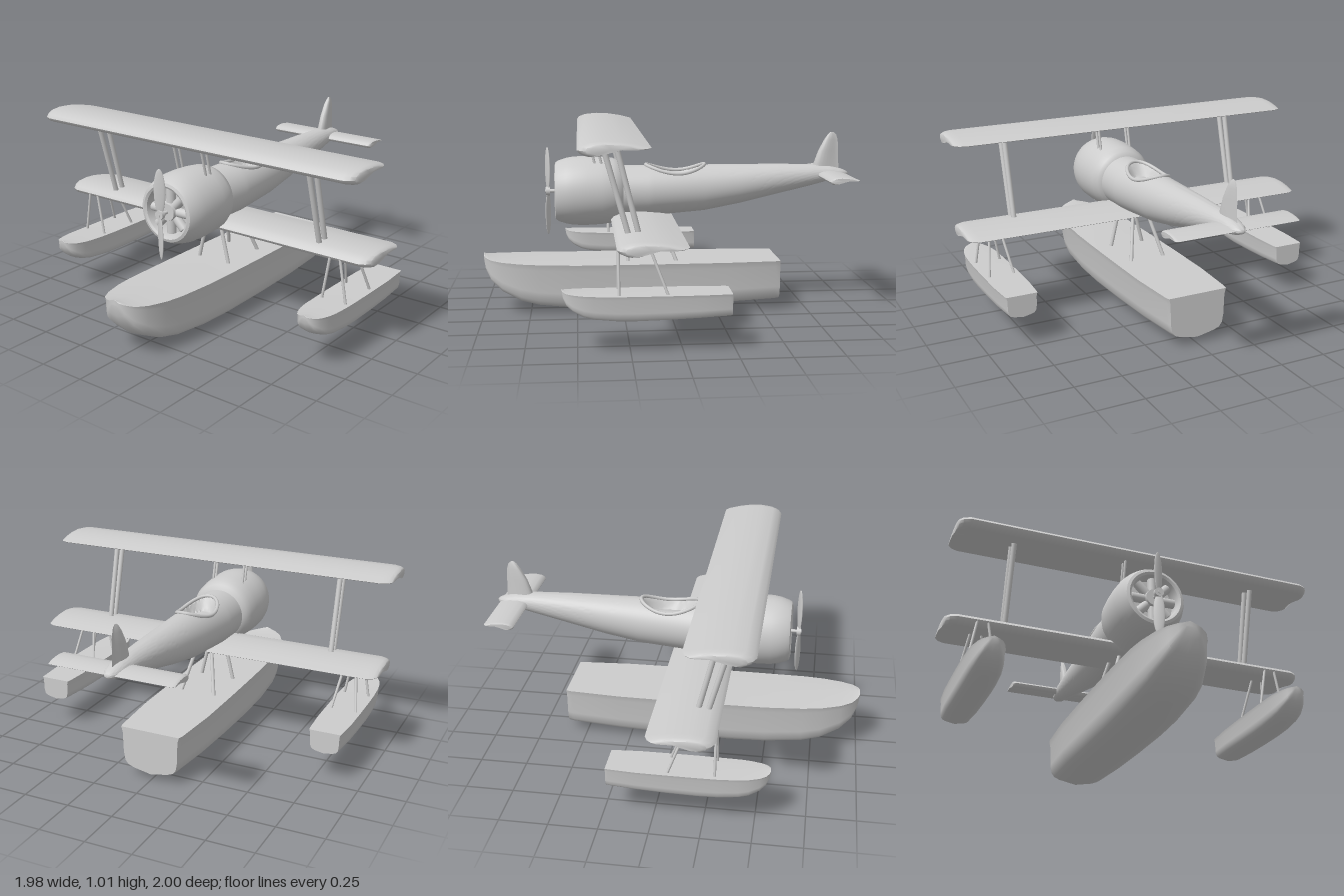
import * as THREE from 'three';
import { toCreasedNormals } from 'three/addons/utils/BufferGeometryUtils.js';

const grey = new THREE.MeshStandardMaterial({ color: 0xcccccc });
grey.name = 'light grey';

// Closed skin through rings of [x, y, z] points, with flat ends; always turned outwards
function loft(rings, crease = 0.6) {
  const n = rings[0].length, pos = rings.flat(2), idx = [];
  for (let r = 0; r < rings.length - 1; r++)
    for (let i = 0; i < n; i++) {
      const a = r * n + i, b = r * n + (i + 1) % n;
      idx.push(a, b, a + n, b, b + n, a + n);
    }
  for (const r of [0, rings.length - 1]) {
    const c = pos.length / 3;
    pos.push(...[0, 1, 2].map(k => rings[r].reduce((s, p) => s + p[k], 0) / n));
    for (let i = 0; i < n; i++) {
      const a = r * n + i, b = r * n + (i + 1) % n;
      idx.push(...(r ? [a, b, c] : [b, a, c]));
    }
  }
  let volume = 0;
  const v = k => new THREE.Vector3().fromArray(pos, idx[k] * 3);
  for (let k = 0; k < idx.length; k += 3) volume += v(k).dot(v(k + 1).cross(v(k + 2)));
  if (volume < 0) idx.reverse();
  const g = new THREE.BufferGeometry();
  g.setAttribute('position', new THREE.Float32BufferAttribute(pos, 3));
  g.setIndex(idx);
  return toCreasedNormals(g, crease);
}

// Linear look-up in rows sorted by falling first column
function sample(rows, z) {
  let i = 0;
  while (i < rows.length - 2 && z < rows[i + 1][0]) i++;
  const t = (z - rows[i][0]) / (rows[i + 1][0] - rows[i][0]);
  return rows[i].map((a, k) => a + (rows[i + 1][k] - a) * t);
}

// Fuselage rows: z, half width, top, bottom
const BODY = [
  [0.3, 0.14, 0.79, 0.51], [0.1, 0.14, 0.79, 0.515], [-0.2, 0.117, 0.79, 0.54],
  [-0.4, 0.1, 0.79, 0.578], [-0.6, 0.08, 0.79, 0.625], [-0.8, 0.06, 0.785, 0.672],
  [-0.9, 0.05, 0.775, 0.698], [-0.96, 0.038, 0.76, 0.71], [-0.99, 0.02, 0.747, 0.722],
  [-1, 0.004, 0.737, 0.732],
];
const PIT = { z: -0.04, rx: 0.09, rz: 0.155 };

function fuselage() {
  const rings = [], zs = [];
  for (let i = 0; i <= 80; i++) zs.push(0.3 - i * 0.0155);
  zs.push(-0.96, -0.975, -0.99, -1);
  for (const z of zs) {
    const [, w, top, bot] = sample(BODY, z), ring = [];
    for (let i = 0; i < 64; i++) {
      const a = i / 64 * Math.PI * 2, x = w * Math.sin(a);
      let y = (top + bot) / 2 + (top - bot) / 2 * Math.cos(a);
      // Cockpit hollow
      const d = Math.hypot(x / PIT.rx, (z - PIT.z) / PIT.rz);
      if (d < 1 && Math.cos(a) > 0) y -= 0.07 * Math.min(1, (1 - d) * 4);
      ring.push([x, y, z]);
    }
    rings.push(ring);
  }
  return loft(rings, 0.9);
}

// Cockpit rim lying on the fuselage skin
function cockpitRim() {
  const pts = [];
  for (let i = 0; i < 32; i++) {
    const a = i / 32 * Math.PI * 2, x = 0.094 * Math.cos(a), z = PIT.z + 0.16 * Math.sin(a);
    const [, w, top, bot] = sample(BODY, z);
    pts.push(new THREE.Vector3(x, (top + bot) / 2 + (top - bot) / 2 * Math.sqrt(1 - (x / w) ** 2) + 0.003, z));
  }
  return new THREE.TubeGeometry(new THREE.CatmullRomCurve3(pts, true), 64, 0.01, 8, true);
}

// Airfoil outline: chord fraction, height
const FOIL = [[0, 0], [0.04, 0.018], [0.15, 0.032], [0.35, 0.039], [0.6, 0.035], [0.8, 0.025],
  [1, 0.008], [0.98, 0.004], [0.8, 0.012], [0.6, 0.003], [0.4, -0.013], [0.25, -0.026],
  [0.12, -0.028], [0.03, -0.015]];

// Wing with rounded tips; tips rows: inset from the end, chord scale, thickness scale
function wing(half, chord, lead, y, thick, tips) {
  const side = s => tips.map(([inset, c, t]) => FOIL.map(([u, v]) =>
    [s * (half - inset), y + v * thick * t, lead - chord * (0.5 + (u - 0.5) * c)]));
  return loft([...side(-1), ...side(1).reverse()], 0.75);
}
const WING_TIPS = [[0, 0.64, 0.72], [0.005, 0.78, 0.86], [0.022, 0.91, 0.95], [0.055, 1, 1]];
const TAIL_TIPS = [[0, 0.86, 0.8], [0.006, 0.96, 0.95], [0.015, 1, 1]];

// Fin: teardrop sections; rows: y, front z, back z, half thickness
function fin() {
  const rows = [[0.74, -0.8, -0.95, 0.022], [0.79, -0.805, -0.945, 0.022], [0.86, -0.83, -0.942, 0.02],
    [0.92, -0.862, -0.938, 0.015], [0.95, -0.883, -0.928, 0.009], [0.962, -0.897, -0.915, 0.003]];
  return loft(rows.map(([y, f, b, t]) => Array.from({ length: 20 }, (_, i) => {
    const a = i / 20 * Math.PI * 2;
    return [t * 1.5 * Math.sin(a) * (0.5 + 0.5 * Math.cos(a)), y, (f + b) / 2 + (f - b) / 2 * Math.cos(a)];
  })), 1);
}

// Float hull rows: z, half width, deck, keel
function hull() {
  const rows = [[-0.6, 0.165, 0.28, 0.04], [-0.57, 0.172, 0.28, 0.038], [-0.3, 0.19, 0.28, 0.025],
    [0, 0.193, 0.28, 0.012], [0.3, 0.193, 0.28, 0.005], [0.5, 0.19, 0.28, 0.01], [0.7, 0.18, 0.284, 0.03],
    [0.8, 0.165, 0.287, 0.055], [0.9, 0.135, 0.292, 0.11], [0.96, 0.1, 0.298, 0.17],
    [0.99, 0.06, 0.306, 0.235], [1, 0.03, 0.312, 0.29]];
  const half = [[1, 1], [0.95, 0.87], [0.93, 0.4], [0.88, 0.22], [0.78, 0.13], [0.6, 0.08]];
  return loft(rows.map(([z, w, top, bot]) => {
    const crown = 0.012 * Math.max(0, z);
    const right = half.map(([a, b]) => [a * w, bot + (top - bot) * b, z]);
    const left = right.map(([x, y]) => [-x, y, z]).reverse();
    return [[0, top + crown, z], ...right, [0, bot, z], ...left];
  }), 0.6);
}

// Cowling with a hollow front, turned about the z axis
function cowling() {
  const profile = [[0, 0.24], [0.13, 0.24], [0.16, 0.262], [0.176, 0.3], [0.183, 0.36], [0.187, 0.44], [0.185, 0.51],
    [0.178, 0.55], [0.165, 0.59], [0.155, 0.607], [0.14, 0.612], [0.128, 0.605], [0.124, 0.59], [0.124, 0.53], [0, 0.53]];
  const g = new THREE.LatheGeometry(profile.map(p => new THREE.Vector2(...p)), 48);
  return toCreasedNormals(g.rotateX(Math.PI / 2).translate(0, 0.655, 0), 0.7);
}

export function createModel() {
  const plane = new THREE.Group();
  plane.name = 'biplaneSeaplane';
  const add = (name, geometry, parent = plane) => {
    const m = new THREE.Mesh(geometry, grey);
    m.name = name;
    parent.add(m);
    return m;
  };
  const rod = (name, from, to, radius) => {
    const a = new THREE.Vector3(...from), b = new THREE.Vector3(...to);
    const m = add(name, new THREE.CylinderGeometry(radius, radius, a.distanceTo(b), 12));
    m.position.copy(a).lerp(b, 0.5);
    m.quaternion.setFromUnitVectors(new THREE.Vector3(0, 1, 0), b.sub(a).normalize());
  };

  add('fuselage', fuselage());
  add('cockpitRim', cockpitRim());
  add('cowling', cowling());
  add('upperWing', wing(0.99, 0.335, 0.49, 0.972, 1, WING_TIPS));
  add('lowerWing', wing(0.99, 0.335, 0.315, 0.513, 1, WING_TIPS));
  add('tailplane', wing(0.335, 0.16, -0.82, 0.73, 0.58, TAIL_TIPS));
  add('fin', fin());

  // Radial engine
  const engine = new THREE.Group();
  engine.name = 'engine';
  engine.position.set(0, 0.655, 0.565);
  plane.add(engine);
  add('crankcase', new THREE.CylinderGeometry(0.045, 0.055, 0.07, 24).rotateX(Math.PI / 2), engine);
  for (let i = 0; i < 8; i++)
    add('engineCylinder', new THREE.CylinderGeometry(0.024, 0.024, 0.075, 16)
      .translate(0, 0.08, 0).rotateZ(i * Math.PI / 4), engine);

  // Propeller
  const propeller = new THREE.Group();
  propeller.name = 'propeller';
  propeller.position.set(0, 0.655, 0.65);
  plane.add(propeller);
  add('propellerShaft', new THREE.CylinderGeometry(0.009, 0.009, 0.09, 12).rotateX(Math.PI / 2).translate(0, 0, -0.03), propeller);
  add('propellerHub', new THREE.CylinderGeometry(0.024, 0.024, 0.022, 20).rotateX(Math.PI / 2), propeller);
  for (const turn of [0, Math.PI])
    add('propellerBlade', new THREE.SphereGeometry(1, 20, 16).scale(0.03, 0.118, 0.007)
      .rotateY(0.45).translate(0, 0.12, 0).rotateZ(turn), propeller);

  // Floats: the outriggers are half-size copies of the main hull
  const floatShape = hull();
  add('mainFloat', floatShape);
  for (const s of [1, -1]) {
    const outrigger = add('outriggerFloat', floatShape);
    outrigger.scale.setScalar(0.5);
    outrigger.position.set(s * 0.805, 0.145, 0.07);

    // Wing and cabin struts
    rod('wingStrut', [s * 0.68, 0.97, 0.37], [s * 0.68, 0.52, 0.245], 0.014);
    rod('wingStrut', [s * 0.68, 0.985, 0.31], [s * 0.68, 0.52, 0.195], 0.014);
    rod('cabaneStrut', [s * 0.09, 0.965, 0.437], [s * 0.09, 0.78, 0.39], 0.007);
    rod('cabaneStrut', [s * 0.09, 0.965, 0.4], [s * 0.09, 0.78, 0.355], 0.007);

    // Float struts
    rod('mainFloatStrut', [s * 0.035, 0.54, 0.225], [s * 0.1, 0.27, 0.225], 0.01);
    rod('mainFloatStrut', [s * 0.035, 0.55, 0.065], [s * 0.1, 0.27, -0.04], 0.01);
    for (const t of [1, -1]) {
      rod('outriggerStrut', [s * 0.805 + t * 0.028, 0.51, 0.305], [s * 0.805 + t * 0.07, 0.27, 0.305], 0.007);
      rod('outriggerStrut', [s * 0.805 + t * 0.028, 0.52, 0.165], [s * 0.805 + t * 0.07, 0.27, 0.07], 0.007);
    }
  }
  return plane;
}
